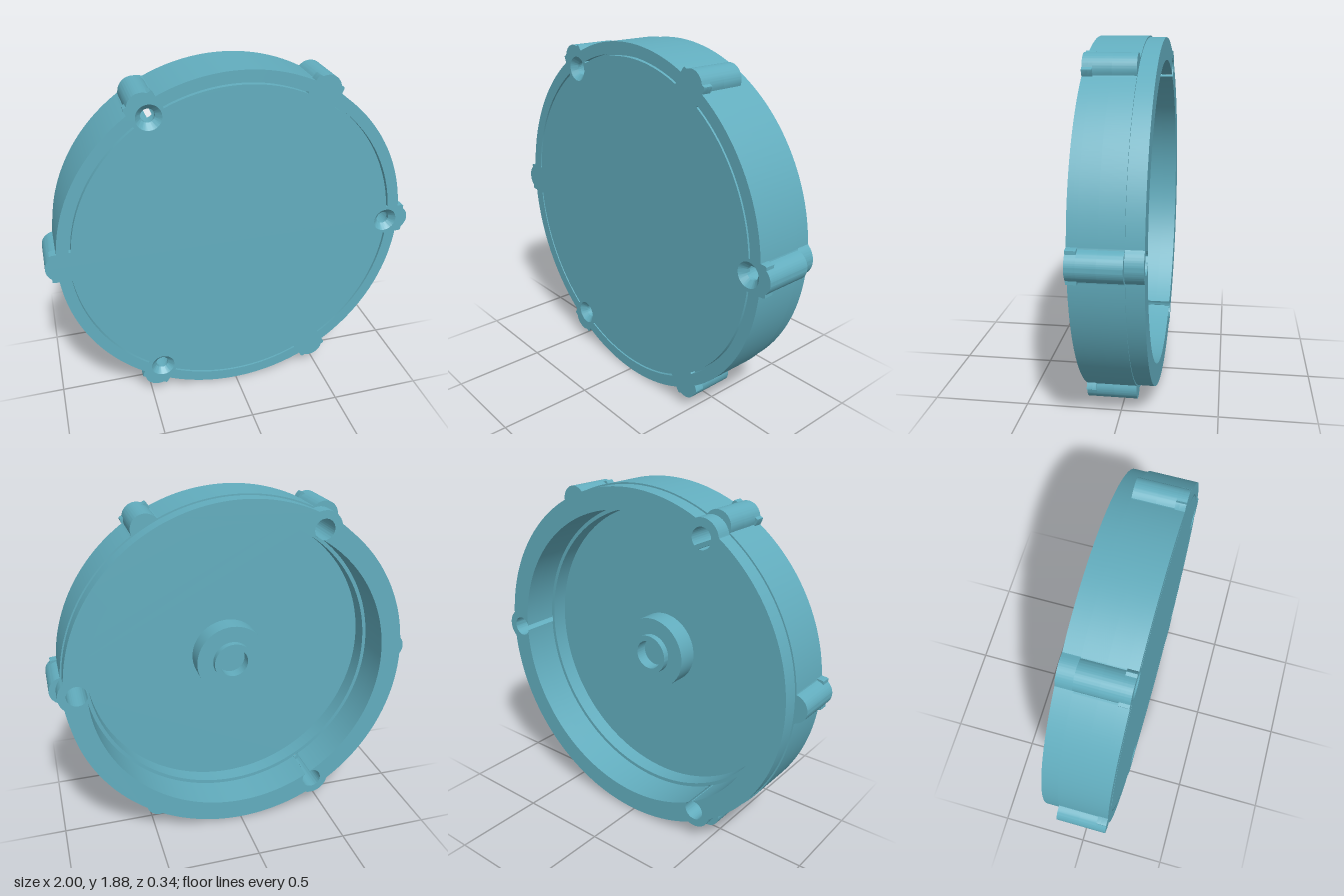
import * as THREE from 'three';
import { toCreasedNormals } from 'three/addons/utils/BufferGeometryUtils.js';

const CENTER_Y = 0.942;
const HOLE_R = 0.867;                 // radius on which the screw holes sit
const HOLE_ANGLES = [0, 1, 2].map(k => k * Math.PI * 2 / 3);

// Radius reached by a round bulge centred at distance c, at angle t from its axis
function bulge(t, c, r) {
  const d = r * r - (c * Math.sin(t)) ** 2;
  return Math.cos(t) > 0 && d > 0 ? c * Math.cos(t) + Math.sqrt(d) : 0;
}

// Radius reached by a square tab of the given reach and half width
function tab(t, reach, half) {
  if (Math.cos(t) <= 0) return 0;
  const r = Math.min(reach / Math.cos(t), half / Math.max(Math.abs(Math.sin(t)), 1e-6));
  return r;
}

// Round outline with a feature repeated count times
function outline(radius, count, feature) {
  const pts = [], n = 1440, step = Math.PI * 2 / count;
  for (let i = 0; i < n; i++) {
    const a = i / n * Math.PI * 2;
    const t = a - Math.round(a / step) * step;
    const r = Math.max(radius, feature(t));
    pts.push(new THREE.Vector2(r * Math.cos(a), r * Math.sin(a)));
  }
  return new THREE.Shape(pts);
}

function circle(x, y, r) {
  return new THREE.Path().absarc(x, y, r, 0, Math.PI * 2, false);
}

function screwHoles(r) {
  return HOLE_ANGLES.map(a => circle(HOLE_R * Math.cos(a), HOLE_R * Math.sin(a), r));
}

// Cavity joined to the screw bores by narrow slots
function slottedCavity(radius, bore, half) {
  const path = new THREE.Path(), d = half / radius, e = half / bore;
  for (const a of HOLE_ANGLES) {
    path.absarc(HOLE_R * Math.cos(a), HOLE_R * Math.sin(a), bore, a + Math.PI + e, a + 3 * Math.PI - e, false);
    path.absarc(0, 0, radius, a + d, a + Math.PI * 2 / 3 - d, false);
  }
  path.closePath();
  return path;
}

// Thin arc grooves between the lugs
function grooves() {
  return Array.from({ length: 6 }, (_, k) => {
    const a = THREE.MathUtils.degToRad(60 * k + 5.5), b = THREE.MathUtils.degToRad(60 * k + 54.5);
    const p = new THREE.Path();
    p.absarc(0, 0, 0.878, a, b, false);
    p.absarc(0, 0, 0.868, b, a, true);
    p.closePath();
    return p;
  });
}

export function createModel() {
  const group = new THREE.Group();
  group.name = 'roundCover';
  const material = new THREE.MeshStandardMaterial({ color: 0x62adbe });
  material.name = 'teal';

  const add = (name, geometry) => {
    const mesh = new THREE.Mesh(toCreasedNormals(geometry, 0.5), material);
    mesh.name = name;
    mesh.position.y = CENTER_Y;
    group.add(mesh);
    return mesh;
  };
  const layer = (name, shape, holes, z0, z1) => {
    shape.holes = holes;
    const g = new THREE.ExtrudeGeometry(shape, { depth: z1 - z0, bevelEnabled: false, curveSegments: 72 });
    add(name, g.translate(0, 0, z0));
  };
  const lathe = (name, points, segments) => {
    const g = new THREE.LatheGeometry(points.map(p => new THREE.Vector2(...p)), segments);
    return add(name, g.rotateX(Math.PI / 2));
  };

  const lug = t => bulge(t, 0.925, 0.075);
  const lugWithTabs = t => Math.max(lug(t), tab(t, 0.972, 0.08));

  // Rear rim, slightly smaller, with a round boss at each screw
  layer('rearRim', outline(0.932, 3, t => bulge(t, 0.868, 0.097)),
    [slottedCavity(0.817, 0.055, 0.015)], -0.17, -0.085);
  // Side wall with six lugs
  layer('sideWall', outline(0.94, 6, lug),
    [slottedCavity(0.817, 0.055, 0.015)], -0.085, 0.03);
  // Inner step near the floor
  layer('innerStep', outline(0.94, 6, lug),
    [circle(0, 0, 0.797), ...screwHoles(0.055)], 0.03, 0.12);
  // Floor plate and grooved front face, with square tabs beside the lugs
  layer('floorPlate', outline(0.94, 6, lugWithTabs), screwHoles(0.035), 0.12, 0.14);
  layer('frontFace', outline(0.94, 6, lugWithTabs),
    [...screwHoles(0.065), ...grooves()], 0.14, 0.17);

  // Countersinks
  for (const a of HOLE_ANGLES) {
    const sink = lathe('countersink', [[0.065, 0.17], [0.035, 0.14]], 72);
    sink.position.x = HOLE_R * Math.cos(a);
    sink.position.y += HOLE_R * Math.sin(a);
  }

  // Stepped boss with a blind bore in the middle of the floor
  lathe('centreBoss', [[0, 0.04], [0.08, 0.04], [0.08, -0.025], [0.11, -0.025],
    [0.11, 0.01], [0.2, 0.01], [0.2, 0.12]], 96);

  return group;
}
